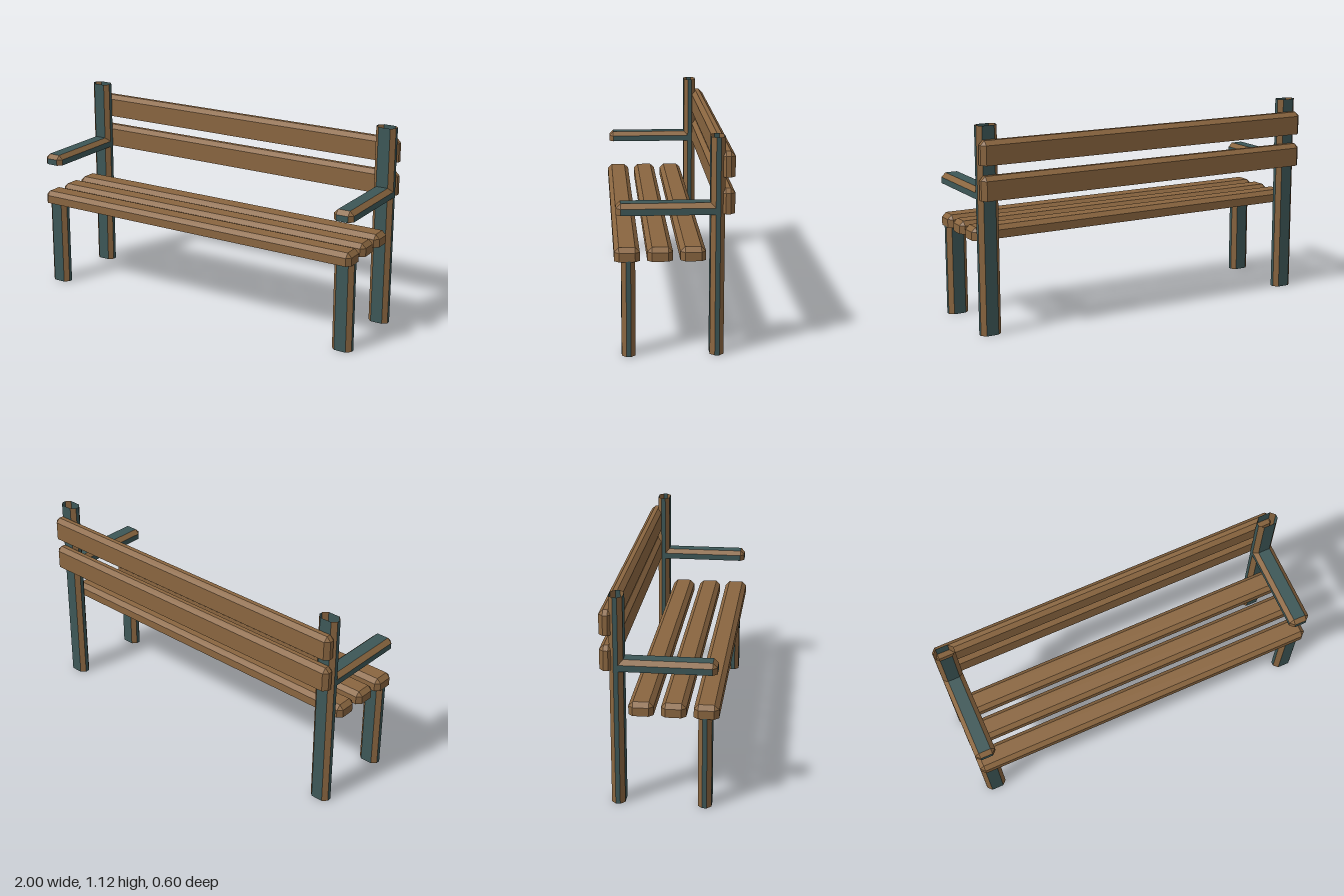
import * as THREE from 'three';

const wood = new THREE.MeshStandardMaterial({ color: 0x8a6640, side: THREE.DoubleSide });
wood.name = 'brown wood';
const paint = new THREE.MeshStandardMaterial({ color: 0x3d5757, side: THREE.DoubleSide });
paint.name = 'dark teal paint';

const BEVEL = 0.0235;

// Hollow beam, open below, with bevelled upright corners.
// A capped beam also has a bevelled, closed top; an uncapped one is open above.
// Group 0 holds the flat faces, group 1 the bevels.
function beamGeometry([x0, x1], [y0, y1], [z0, z1], capped) {
  const X = (x1 - x0) / 2, Z = (z1 - z0) / 2, c = BEVEL;
  const cx = (x0 + x1) / 2, cz = (z0 + z1) / 2;
  const ring = [
    [X, Z - c], [X, c - Z], [X - c, -Z], [c - X, -Z],
    [-X, c - Z], [-X, Z - c], [c - X, Z], [X - c, Z],
  ];
  const inset = ring.map(([x, z]) => [Math.sign(x) * (X - c), Math.sign(z) * (Z - c)]);
  const at = ([x, z], y) => [cx + x, y, cz + z];
  const shoulder = capped ? y1 - c : y1;
  const flats = [], bevels = [];
  const tri = (out, p, q, r) => out.push(...p, ...q, ...r);
  const quad = (out, p, q, r, s) => { tri(out, p, q, r); tri(out, p, r, s); };

  for (let i = 0; i < 8; i++) {
    const j = (i + 1) % 8;
    const a = at(ring[i], shoulder), b = at(ring[j], shoulder);
    quad(i % 2 ? bevels : flats, at(ring[i], y0), at(ring[j], y0), b, a);
    if (!capped) continue;
    if (i % 2) tri(bevels, a, b, at(inset[i], y1));
    else quad(bevels, a, b, at(inset[j], y1), at(inset[i], y1));
  }
  if (capped) quad(flats, ...[0, 1, 3, 5].map((i) => at(inset[i], y1)));

  const g = new THREE.BufferGeometry();
  g.setAttribute('position', new THREE.Float32BufferAttribute([...flats, ...bevels], 3));
  g.addGroup(0, flats.length / 3, 0);
  g.addGroup(flats.length / 3, bevels.length / 3, 1);
  g.computeVertexNormals();
  return g;
}

export function createModel() {
  const bench = new THREE.Group();
  bench.name = 'bench';
  const add = (name, xs, ys, zs, capped, material) => {
    const mesh = new THREE.Mesh(beamGeometry(xs, ys, zs, capped), material);
    mesh.name = name;
    bench.add(mesh);
  };

  // Legs, tall back posts and armrests: painted flats with bare wooden bevels
  for (const [side, xs] of [['left', [0.885, 1]], ['right', [-1, -0.885]]]) {
    add(side + 'FrontLeg', xs, [0, 0.5], [0.195, 0.265], false, [paint, wood]);
    add(side + 'BackPost', xs, [0, 1.12], [-0.25, -0.18], false, [paint, wood]);
    add(side + 'Armrest', xs, [0.733, 0.79], [-0.25, 0.29], true, [paint, wood]);
  }

  // Seat slats
  for (let i = 0; i < 3; i++) {
    const z = 0.236 - i * 0.165;
    add('seatSlat' + (i + 1), [-1, 1], [0.497, 0.566], [z - 0.064, z + 0.064], true, [wood, wood]);
  }

  // Back slats
  [0.735, 0.92].forEach((y, i) => {
    add('backSlat' + (i + 1), [-1, 1], [y, y + 0.128], [-0.3, -0.229], true, [wood, wood]);
  });

  return bench;
}
